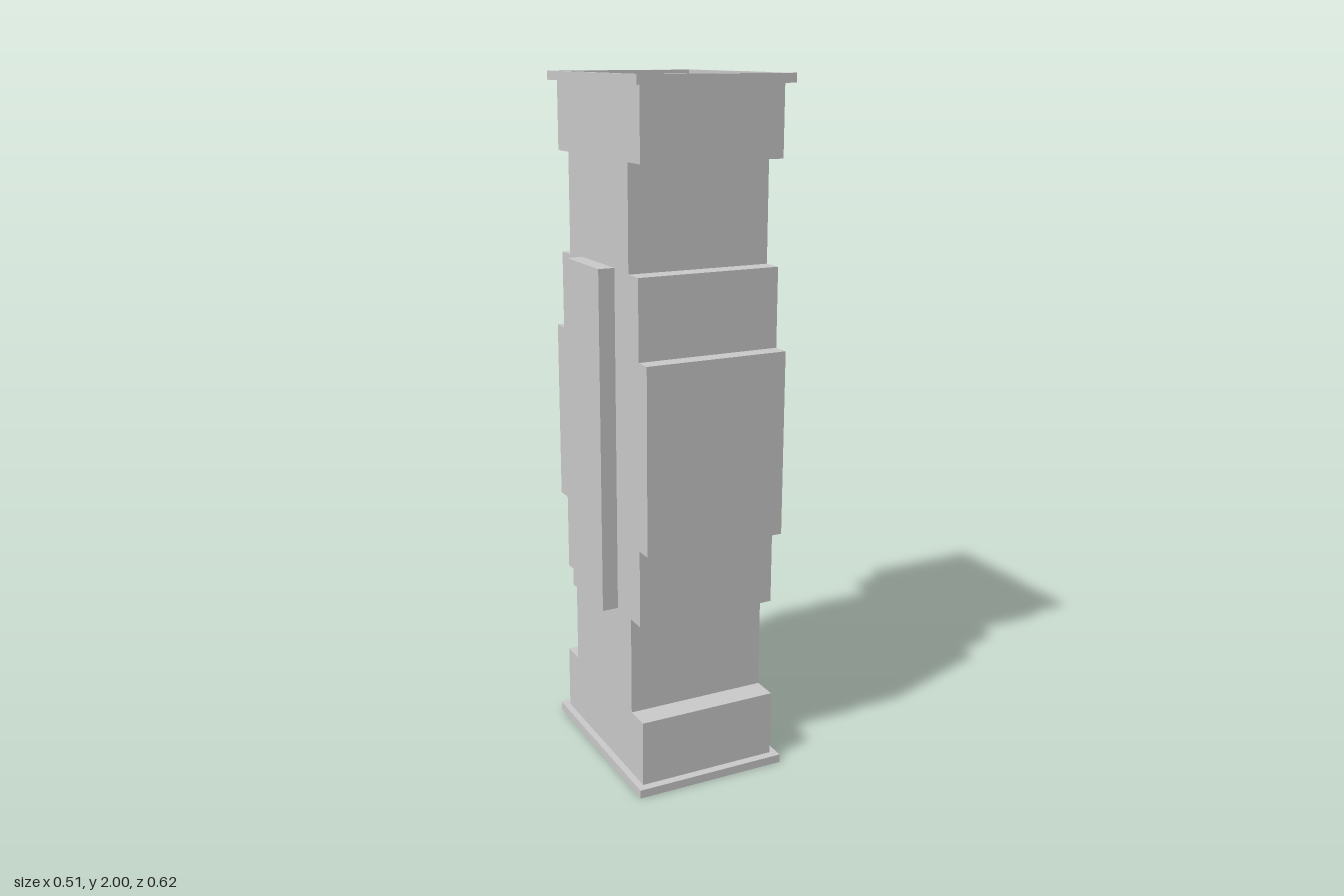
import * as THREE from 'three';

const HALF_W = 0.21;   // half width of the shaft
const RIM_H = 0.025;   // thickness of the end flanges
const HEIGHT = 2;

// Stepped front outline as [z, y], lower half, mirrored for the upper half
const lower = [
  [0.275, RIM_H], [0.275, 0.22], [0.2, 0.22], [0.2, 0.51],
  [0.26, 0.51], [0.26, 0.735], [0.31, 0.735],
];
const profile = [...lower, ...lower.map(([z, y]) => [z, HEIGHT - y]).reverse()];

const PAD = { halfZ: 0.11, y0: 0.51, y1: 1.495, depth: 0.047 };

const rectPoints = (hx, y0, y1) => [
  new THREE.Vector2(-hx, y0), new THREE.Vector2(hx, y0),
  new THREE.Vector2(hx, y1), new THREE.Vector2(-hx, y1),
];

// Folded sheet following the stepped outline across the full width
function steppedSheet() {
  const pos = [], index = [];
  for (let i = 0; i < profile.length - 1; i++) {
    const [za, ya] = profile[i], [zb, yb] = profile[i + 1];
    const n = i * 4;
    pos.push(-HALF_W, ya, za, HALF_W, ya, za, HALF_W, yb, zb, -HALF_W, yb, zb);
    index.push(n, n + 1, n + 2, n, n + 2, n + 3);
  }
  const g = new THREE.BufferGeometry();
  g.setAttribute('position', new THREE.Float32BufferAttribute(pos, 3));
  g.setIndex(index);
  g.computeVertexNormals();
  return g;
}

// Flat side wall with an opening behind the raised panel
function sideWall() {
  const pts = [
    ...profile.map(([z, y]) => new THREE.Vector2(z, y)),
    ...profile.map(([z, y]) => new THREE.Vector2(-z, y)).reverse(),
  ];
  const shape = new THREE.Shape(pts);
  shape.holes.push(new THREE.Path(rectPoints(PAD.halfZ, PAD.y0, PAD.y1)));
  return new THREE.ShapeGeometry(shape).rotateY(Math.PI / 2).translate(HALF_W, 0, 0);
}

// Raised panel, open towards the hollow inside
function sidePanel() {
  const g = new THREE.BoxGeometry(PAD.depth, PAD.y1 - PAD.y0, PAD.halfZ * 2);
  const idx = Array.from(g.index.array);
  idx.splice(6, 6); // drop the inner (-x) face
  g.setIndex(idx);
  g.clearGroups();
  return g.translate(HALF_W + PAD.depth / 2, (PAD.y0 + PAD.y1) / 2, 0);
}

// Rectangular flange ring around an open end
function flange() {
  const shape = new THREE.Shape(rectPoints(0.23, -0.3, 0.3));
  shape.holes.push(new THREE.Path(rectPoints(HALF_W, -0.275, 0.275)));
  return new THREE.ExtrudeGeometry(shape, { depth: RIM_H, bevelEnabled: false })
    .rotateX(-Math.PI / 2);
}

export function createModel() {
  const model = new THREE.Group();
  model.name = 'hollowColumn';
  const material = new THREE.MeshStandardMaterial({
    color: 0xcccccc, flatShading: true, side: THREE.DoubleSide,
  });
  const add = (name, geometry, turn = 0, y = 0) => {
    const mesh = new THREE.Mesh(geometry, material);
    mesh.name = name;
    mesh.rotation.y = turn;
    mesh.position.y = y;
    model.add(mesh);
  };

  const sheet = steppedSheet(), wall = sideWall(), panel = sidePanel(), rim = flange();

  // Stepped front and back
  add('frontWall', sheet);
  add('backWall', sheet, Math.PI);

  // Flat sides with raised panels
  for (const [side, turn] of [['left', 0], ['right', Math.PI]]) {
    add(side + 'Wall', wall, turn);
    add(side + 'Panel', panel, turn);
  }

  // End flanges
  add('bottomFlange', rim);
  add('topFlange', rim, 0, HEIGHT - RIM_H);

  return model;
}
